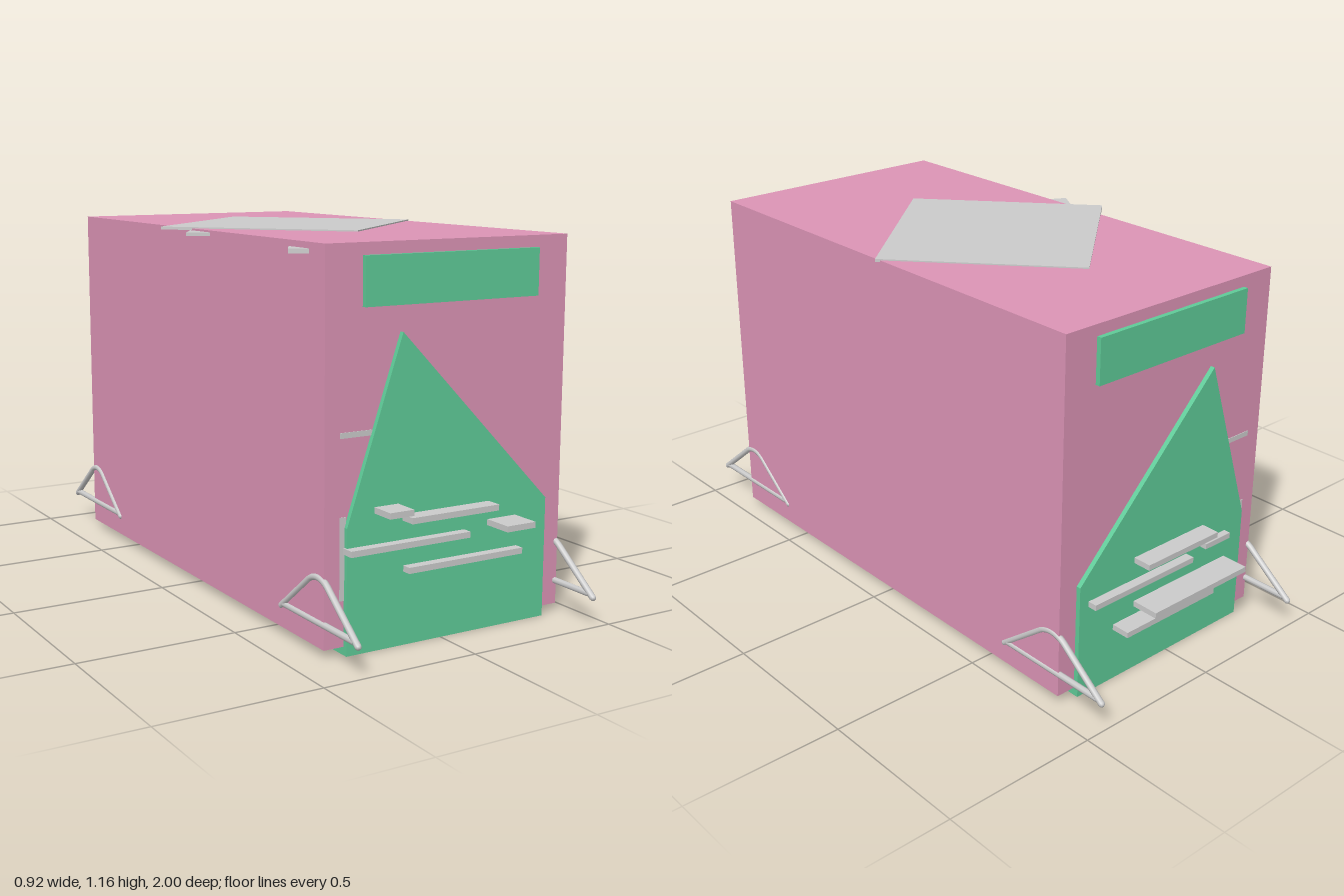
import * as THREE from 'three';

const grey = new THREE.MeshStandardMaterial({ color: 0xcccccc, flatShading: true });
const smoothGrey = new THREE.MeshStandardMaterial({ color: 0xcccccc });
const pink = new THREE.MeshStandardMaterial({ color: 0xdc94b6, flatShading: true });
const green = new THREE.MeshStandardMaterial({ color: 0x5fcb98, flatShading: true });

export function createModel() {
  const model = new THREE.Group();
  model.name = 'model';

  const add = (name, geometry, material) => {
    const mesh = new THREE.Mesh(geometry, material);
    mesh.name = name;
    model.add(mesh);
    return mesh;
  };
  // box given by its limits on each axis
  const box = (name, x0, x1, y0, y1, z0, z1, material) =>
    add(name, new THREE.BoxGeometry(x1 - x0, y1 - y0, z1 - z0), material)
      .position.set((x0 + x1) / 2, (y0 + y1) / 2, (z0 + z1) / 2);
  const shape = (pts) => new THREE.Shape(pts.map(([x, y]) => new THREE.Vector2(x, y)));
  // flat plate from an [x, z] outline, resting at height y
  const plate = (name, pts, y, thickness) => {
    const geo = new THREE.ExtrudeGeometry(shape(pts.map(([x, z]) => [x, -z])),
      { depth: thickness, bevelEnabled: false });
    geo.rotateX(-Math.PI / 2);
    add(name, geo, grey).position.y = y;
  };

  // main body
  box('body', -0.39, 0.445, 0.025, 1.155, -0.82, 0.82, pink);

  // pointed end panels joined by the floor
  const panelOutline = [[-0.325, 0], [0.38, 0], [0.38, 0.37], [-0.145, 0.905], [-0.325, 0.37]];
  for (const [end, z] of [['front', 0.815], ['back', -0.835]]) {
    const geo = new THREE.ExtrudeGeometry(shape(panelOutline), { depth: 0.02, bevelEnabled: false });
    add(end + 'Panel', geo, green).position.z = z;
    box(end + 'Window', -0.27, 0.33, 0.98, 1.12, z, z + 0.02, green);
    // thin trim strips just proud of the end walls
    const mid = Math.sign(z) * 0.82;
    box(end + 'UpperTrim', -0.34, -0.2, 0.622, 0.638, mid - 0.002, mid + 0.002, grey);
    box(end + 'SideTrim', -0.34, -0.32, 0.16, 0.4, mid - 0.002, mid + 0.002, grey);
  }
  box('floor', -0.325, 0.38, 0, 0.03, -0.82, 0.82, green);

  // slats: x from, x to, centre height, reach in z
  const slats = {
    front: [
      [-0.235, -0.155, 0.411, 0.913], [-0.14, 0.165, 0.378, 0.885], [0.162, 0.265, 0.323, 0.93],
      [-0.33, 0.078, 0.304, 0.865], [-0.135, 0.272, 0.228, 0.865],
    ],
    back: [
      [-0.14, 0.16, 0.378, 0.895], [-0.07, 0.345, 0.304, 0.865], [-0.245, -0.135, 0.322, 0.858],
      [-0.25, 0.155, 0.228, 0.925], [-0.14, 0.24, 0.182, 0.895],
    ],
  };
  for (const [end, rows] of Object.entries(slats)) {
    for (const [x0, x1, y, reach] of rows) {
      const [z0, z1] = end === 'front' ? [0.82, reach] : [-reach, -0.82];
      box(end + 'Slat', x0, x1, y - 0.009, y + 0.009, z0, z1, grey);
    }
  }

  // turned roof plate and the corners of two lower plates on the right side
  plate('roofPlate', [[0.03, -0.485], [0.455, -0.008], [-0.035, 0.43], [-0.46, -0.05]], 1.15, 0.009);
  plate('middlePlate', [[-0.38, 0], [-0.455, 0.12], [-0.38, 0.157]], 1.139, 0.01);
  plate('rearPlate', [[-0.38, 0.61], [-0.437, 0.705], [-0.38, 0.742]], 1.123, 0.014);

  // triangular tube loops at the four lower corners
  const v = (z, y) => new THREE.Vector3(0, y, z);
  const tube = (curve, segments) => new THREE.TubeGeometry(curve, segments, 0.01, 8);
  for (const x of [-0.388, 0.44]) {
    for (const side of [1, -1]) {
      const loop = new THREE.Group();
      loop.name = 'cornerLoop';
      const arch = new THREE.CurvePath();
      arch.add(new THREE.LineCurve3(v(0.205, 0.09), v(0.045, 0.215)));
      arch.add(new THREE.QuadraticBezierCurve3(v(0.045, 0.215), v(0, 0.242), v(-0.045, 0.215)));
      arch.add(new THREE.LineCurve3(v(-0.045, 0.215), v(-0.205, 0.09)));
      const base = new THREE.LineCurve3(v(0.19, 0.098), v(-0.19, 0.098));
      for (const [name, geo] of [['loopArch', tube(arch, 40)], ['loopBase', tube(base, 1)]]) {
        const mesh = new THREE.Mesh(geo, smoothGrey);
        mesh.name = name;
        loop.add(mesh);
      }
      // end caps of the arch
      for (const end of [1, -1]) {
        const cap = new THREE.Mesh(new THREE.SphereGeometry(0.01, 8, 6), smoothGrey);
        cap.name = 'loopFoot';
        cap.position.set(0, 0.09, end * 0.205);
        loop.add(cap);
      }
      loop.position.set(x, 0, side * 0.787);
      model.add(loop);
    }
  }
  return model;
}
